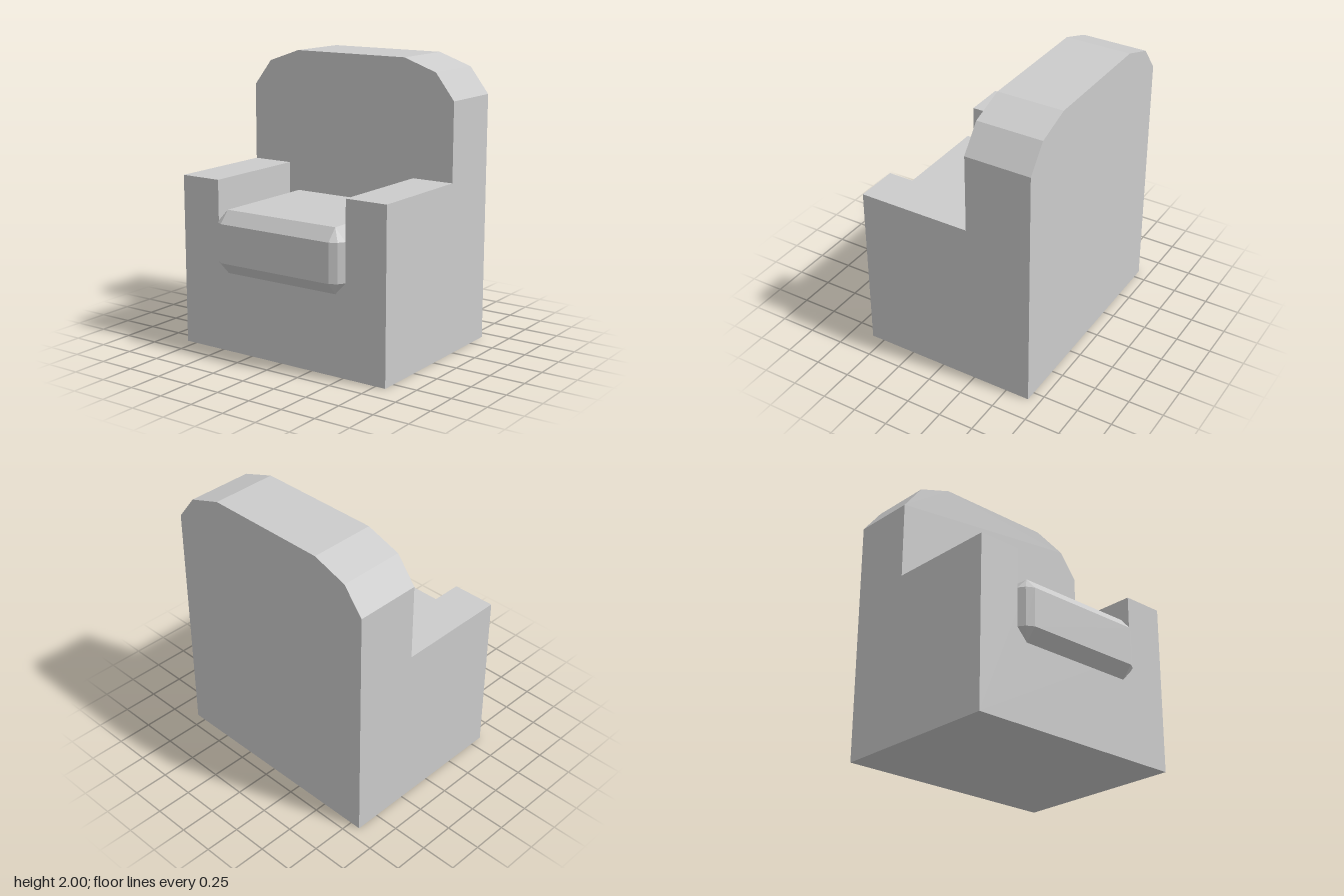
import * as THREE from 'three';
import { ConvexGeometry } from 'three/addons/geometries/ConvexGeometry.js';

const material = new THREE.MeshStandardMaterial({ color: 0xcccccc, flatShading: true });

// Mirrors a right-hand outline (listed bottom to top) and extrudes it from zBack to zFront.
function extrudeMirrored(name, half, zBack, zFront) {
  const left = half.map(([x, y]) => [-x, y]).reverse();
  const shape = new THREE.Shape([...half, ...left].map(([x, y]) => new THREE.Vector2(x, y)));
  const geometry = new THREE.ExtrudeGeometry(shape, { depth: zFront - zBack, bevelEnabled: false });
  geometry.translate(0, 0, zBack);
  const mesh = new THREE.Mesh(geometry, material);
  mesh.name = name;
  return mesh;
}

// Seat cushion: plan with two-step front corners, chamfered above and below.
function createCushion() {
  const zBack = -0.3;
  const outer = [[0.52, zBack], [0.52, 0.595], [0.49, 0.64], [0.44, 0.67]];
  const inner = [[0.44, zBack], [0.44, 0.595]];
  const layers = [[0.555, inner], [0.64, outer], [0.91, outer], [0.995, inner]];
  const points = [];
  for (const [y, plan] of layers) {
    for (const [x, z] of plan) {
      points.push(new THREE.Vector3(x, y, z), new THREE.Vector3(-x, y, z));
    }
  }
  const mesh = new THREE.Mesh(new ConvexGeometry(points), material);
  mesh.name = 'seatCushion';
  return mesh;
}

export function createModel() {
  const chair = new THREE.Group();
  chair.name = 'armchair';

  // Backrest slab with faceted top corners, reaching the floor
  const back = [[0.825, 0], [0.825, 1.735], [0.685, 1.915], [0.44, 2]];
  chair.add(extrudeMirrored('backrest', back, -0.67, -0.205));

  // Base and armrests as one U-shaped block
  const base = [[0.825, 0], [0.825, 1.19], [0.52, 1.19], [0.52, 0.75]];
  chair.add(extrudeMirrored('baseAndArmrests', base, -0.205, 0.595));

  chair.add(createCushion());
  return chair;
}
